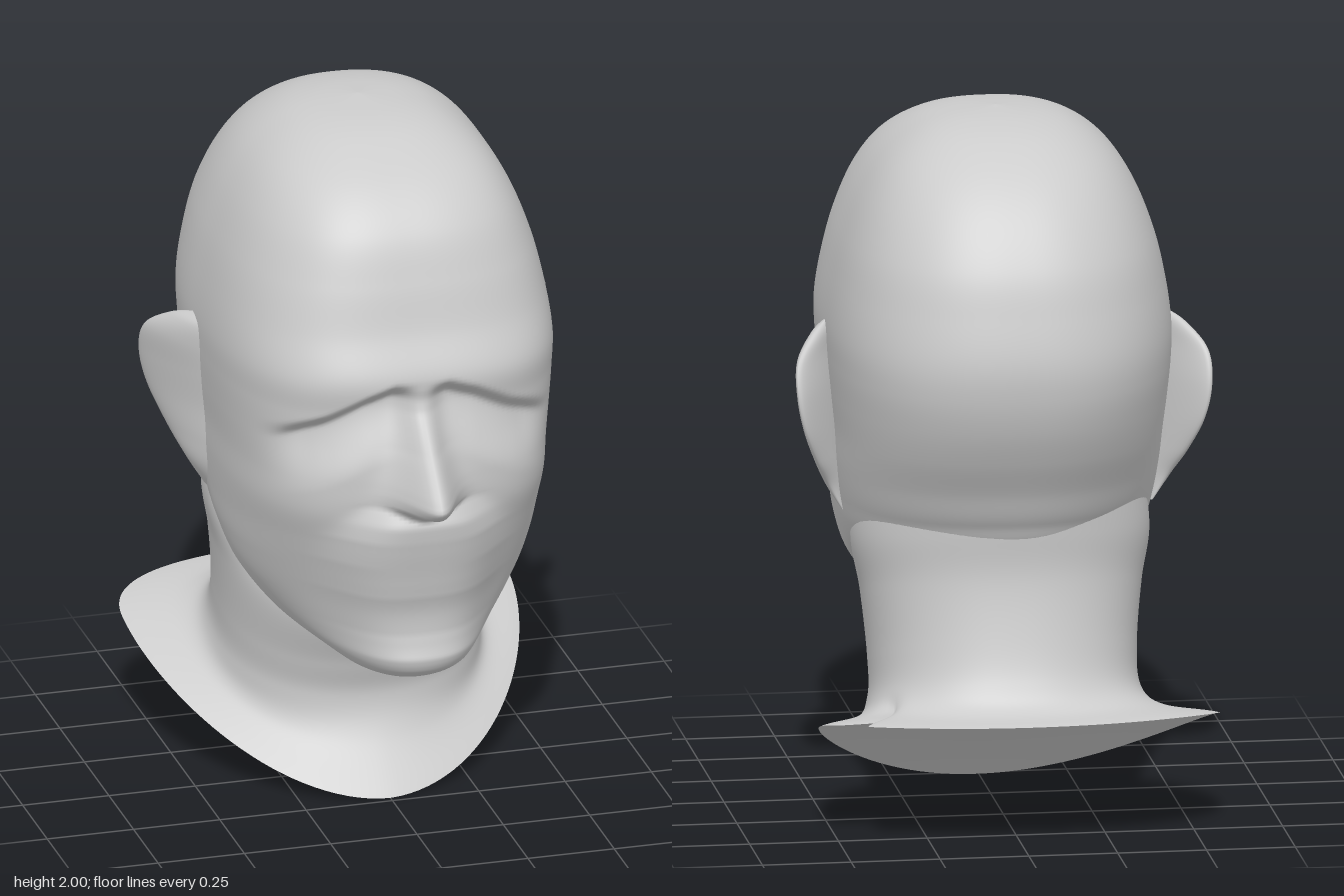
import * as THREE from 'three';

const { smoothstep, lerp } = THREE.MathUtils;
const material = new THREE.MeshStandardMaterial({ color: 0xcccccc, side: THREE.DoubleSide });

// Closed loft: point(angle, v) gives [x, y, z]; v runs from 0 (top) to 1 (bottom).
function loft(name, around, rows, point) {
  const pos = [], index = [];
  for (let j = 0; j <= rows; j++) {
    for (let i = 0; i < around; i++) {
      pos.push(...point((i / around) * Math.PI * 2 - Math.PI, j / rows));
      if (j === rows) continue;
      const a = j * around + i, b = j * around + (i + 1) % around;
      index.push(a, a + around, b, b, a + around, b + around);
    }
  }
  const geo = new THREE.BufferGeometry();
  geo.setAttribute('position', new THREE.Float32BufferAttribute(pos, 3));
  geo.setIndex(index);
  geo.computeVertexNormals();
  const mesh = new THREE.Mesh(geo, material);
  mesh.name = name;
  return mesh;
}

// Smooth interpolation through evenly spaced table rows, v from 0 to 1.
function spline(table) {
  const size = table[0].length;
  const s = new THREE.CubicInterpolant(table.map((_, i) => i), table.flat(), size, new Float32Array(size));
  return v => s.evaluate(v * (table.length - 1));
}

// Piecewise linear values keyed by the first column (ascending).
function keyed(table) {
  const size = table[0].length - 1;
  const s = new THREE.LinearInterpolant(
    table.map(r => r[0]), table.flatMap(r => r.slice(1)), size, new Float32Array(size));
  return y => s.evaluate(y);
}

// Rounded section made of two half superellipses meeting at zMid.
function section(angle, w, zMid, zFront, zBack, nFront, nBack) {
  const s = Math.sin(angle), c = Math.cos(angle), n = c > 0 ? nFront : nBack;
  const r = (Math.abs(s) ** n + Math.abs(c) ** n) ** (-1 / n);
  return [w * s * r, zMid + c * r * (c > 0 ? zFront - zMid : zMid - zBack)];
}

// Skull, face and jaw: y, half width, zMid, zFront, zBack, front and back squareness
const headRows = spline([
  [2.0, 0, -0.1, -0.1, -0.1, 2.2, 2.1],
  [1.985, 0.14, -0.1, 0.07, -0.25, 2.4, 2.2],
  [1.95, 0.235, -0.1, 0.19, -0.38, 2.6, 2.3],
  [1.88, 0.32, -0.1, 0.32, -0.5, 2.8, 2.4],
  [1.78, 0.385, -0.1, 0.415, -0.6, 2.9, 2.45],
  [1.65, 0.435, -0.1, 0.47, -0.68, 3, 2.5],
  [1.52, 0.465, -0.1, 0.51, -0.72, 3.1, 2.5],
  [1.4, 0.48, -0.1, 0.56, -0.743, 3.1, 2.5],
  [1.3, 0.478, -0.1, 0.555, -0.738, 3.1, 2.5],
  [1.2, 0.47, -0.1, 0.555, -0.712, 3.1, 2.45],
  [1.1, 0.46, -0.1, 0.56, -0.667, 3.1, 2.4],
  [1.0, 0.455, -0.08, 0.555, -0.61, 3, 2.3],
  [0.9, 0.445, -0.05, 0.53, -0.56, 2.7, 2.2],
  [0.8, 0.43, 0, 0.5, -0.47, 2.4, 2.1],
  [0.7, 0.395, 0.05, 0.475, -0.1, 2.2, 2.1],
  [0.6, 0.32, 0.14, 0.48, 0.04, 2, 2.1],
  [0.53, 0.23, 0.22, 0.49, 0.12, 2, 2.1],
  [0.48, 0.13, 0.3, 0.46, 0.2, 2, 2.1],
  [0.47, 0, 0.33, 0.33, 0.33, 2, 2.1],
]);
// y, projection, half width
const nose = keyed([[0.96, 0, 0.08], [1.015, 0.1, 0.08], [1.04, 0.175, 0.085], [1.07, 0.205, 0.08],
  [1.1, 0.185, 0.075], [1.2, 0.1, 0.055], [1.3, 0.03, 0.045], [1.38, 0, 0.04]]);
const muzzle = keyed([[0.47, 0.03, 0.2], [0.52, 0.08, 0.2], [0.56, 0.095, 0.2], [0.63, 0.087, 0.205],
  [0.75, 0.097, 0.22], [0.85, 0.09, 0.22], [0.93, 0.085, 0.2], [0.98, 0.078, 0.17], [1.03, 0.045, 0.13],
  [1.08, 0, 0.1]]);
// |x|, height of the brow edge
const brow = keyed([[0, 1.38], [0.08, 1.385], [0.16, 1.355], [0.26, 1.3], [0.38, 1.25], [0.45, 1.23]]);

function headPoint(u, v) {
  const angle = u - 0.4 * Math.sin(u); // denser towards the face
  const [y, w, zMid, zF, zB, nF, nB] = headRows(v);
  const lean = 0.2 * Math.sin(angle); // the left side is a little fuller
  let [x, z] = section(angle, w, zMid, zF, zB, nF + lean, nB + lean);
  const ax = Math.abs(x), front = smoothstep(Math.cos(angle), 0, 0.5);
  const [nd, nw] = nose(y);
  const noseOut = nd * Math.exp(-((x / nw) ** 2));
  const [md, mw] = muzzle(y);
  const muzzleOut = md * Math.exp(-((x / mw) ** 4));
  const below = brow(ax)[0] - y;
  const socket = 0.055 * smoothstep(below, -0.01, 0.05) * (1 - smoothstep(below, 0.03, 0.22))
    * lerp(0.35, 1, smoothstep(ax, 0.01, 0.09)) * (1 - smoothstep(ax, 0.3, 0.43));
  z += front * (Math.max(noseOut, muzzleOut) - socket);
  return [x, y, z];
}

// Neck and flared collar: half width, zMid, zFront, zBack, yFront, yBack
const rim = [0.575, -0.48, 0.23, -0.76, 0, 0.37];
const neckRows = spline([
  [0.405, -0.15, -0.02, -0.555, 0.92, 1.01],
  [0.417, -0.17, 0.06, -0.54, 0.74, 0.87],
  [0.392, -0.2, 0.165, -0.535, 0.55, 0.74],
  [0.375, -0.22, 0.11, -0.565, 0.36, 0.58],
  [0.38, -0.26, 0.085, -0.605, 0.25, 0.46],
  [0.435, -0.36, 0.12, -0.66, 0.14, 0.39],
  rim,
]);
function collarPoint(angle, [w, zMid, zF, zB, yF, yB], flare) {
  // the left side is narrower, with a dip at the back left of the rim
  const dip = 0.17 * Math.exp(-(((angle - 2.1) / 0.1) ** 2));
  const pull = 1 - flare * (dip + 0.05 * Math.max(0, Math.sin(angle)));
  const [x, z] = section(angle, w, zMid, zF, zB, lerp(2.2, 1.9, flare), 2.25);
  const s = Math.min(1, Math.max(0, (zF - z) / (zF - zB)));
  const y = yF + (yB - yF) * (1 - (1 - s) ** lerp(1, 1.7, flare));
  return [x * pull, y, zMid + (z - zMid) * pull];
}

// Ear: y, root x, root z, tip x, tip z, half thickness
const earRows = spline([
  [1.4, 0.45, -0.03, 0.475, -0.09, 0.004],
  [1.37, 0.44, 0.0, 0.525, -0.17, 0.022],
  [1.31, 0.43, 0.01, 0.575, -0.25, 0.028],
  [1.22, 0.42, 0.01, 0.58, -0.29, 0.028],
  [1.12, 0.415, 0.0, 0.56, -0.28, 0.026],
  [1.02, 0.41, 0.0, 0.52, -0.225, 0.026],
  [0.94, 0.41, -0.02, 0.48, -0.165, 0.024],
  [0.86, 0.41, -0.04, 0.435, -0.14, 0.008],
]);
function ear(name, side) {
  return loft(name, 32, 56, (u, v) => {
    const [y, x0, z0, x1, z1, t] = earRows(v);
    const dx = (x1 - x0) / 2, dz = (z1 - z0) / 2, len = Math.hypot(dx, dz);
    const c = Math.cos(u), s = Math.sin(u * side) * t / len;
    return [side * (x0 + dx + dx * c + dz * s), y, z0 + dz + dz * c - dx * s];
  });
}

export function createModel() {
  const group = new THREE.Group();
  group.name = 'headBust';
  group.add(loft('head', 144, 200, headPoint));
  group.add(loft('neck', 120, 70, (u, v) => collarPoint(u, neckRows(v), smoothstep(v, 0.65, 1))));
  // shallow closing surface under the collar
  group.add(loft('neckBase', 120, 10, (u, v) => {
    const [x, y, z] = collarPoint(u, rim, 1 - v);
    return [x * (1 - v), lerp(y, 0.26, v) + 0.02 * Math.sin(v * Math.PI), lerp(z, -0.28, v)];
  }));
  group.add(ear('leftEar', 1), ear('rightEar', -1));
  return group;
}
